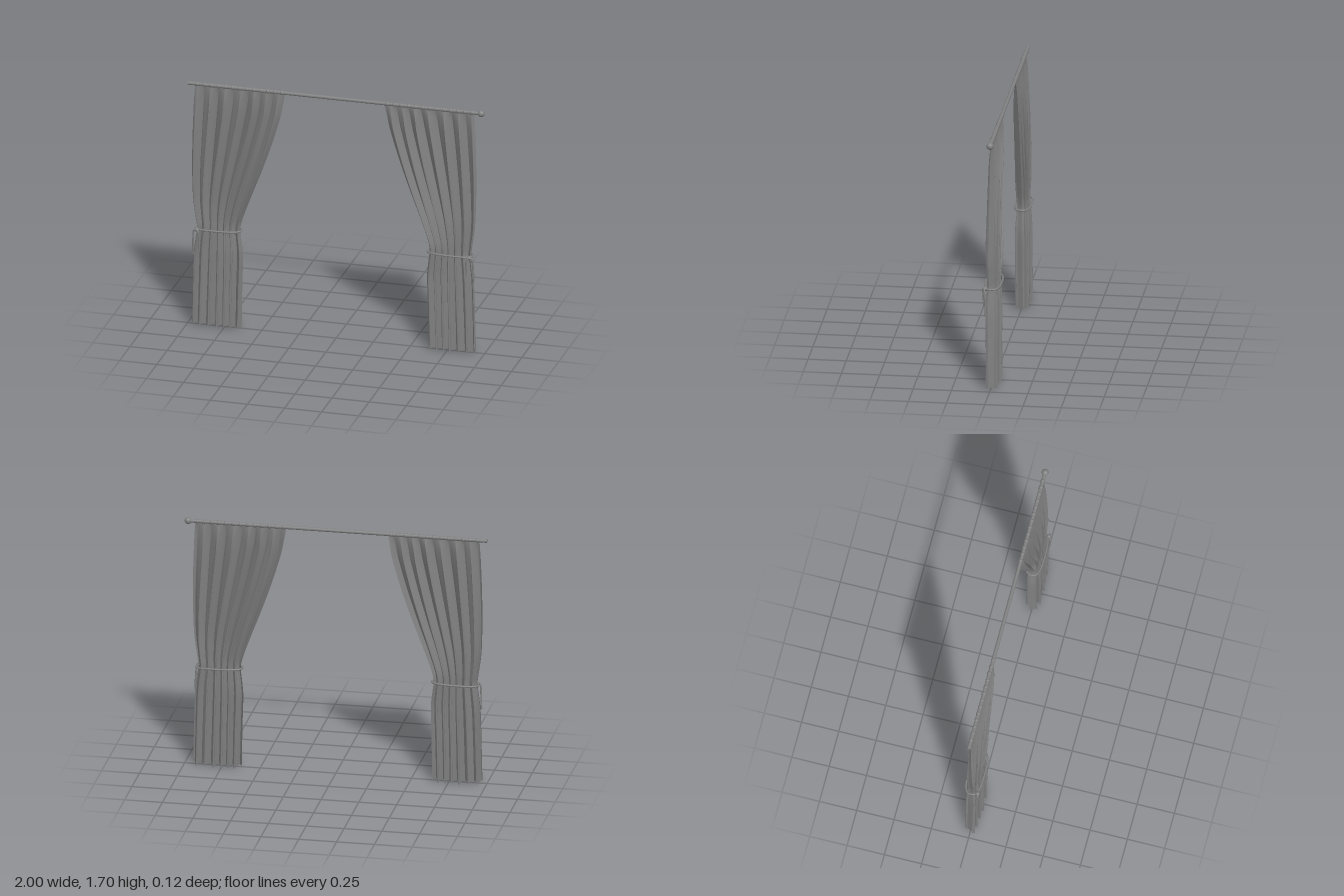
import * as THREE from 'three';

const ROD_Y = 1.685, MID = -0.01, TIE_Y = 0.685;

// Rows from rod to hem: height, outer edge, inner edge, fold depth
const ROWS = [
  [1.685, 0.94, 0.335, 0.003],
  [1.6, 0.945, 0.35, 0.02],
  [1.5, 0.95, 0.37, 0.031],
  [1.3, 0.956, 0.43, 0.042],
  [1.1, 0.957, 0.5, 0.048],
  [0.9, 0.95, 0.576, 0.052],
  [0.76, 0.932, 0.625, 0.046],
  [TIE_Y, 0.924, 0.637, 0.04],
  [0.6, 0.934, 0.628, 0.048],
  [0.5, 0.944, 0.62, 0.054],
  [0.3, 0.95, 0.625, 0.053],
  [0.01, 0.957, 0.63, 0.054],
];

// Pleated cloth sheet, gathered at the tie
function curtainGeometry(side) {
  const spline = (f) => new THREE.CatmullRomCurve3(ROWS.map(f), false, 'catmullrom', 0.5);
  const edges = spline((r) => new THREE.Vector3(r[1], r[0], r[2]));
  const depths = spline((r) => new THREE.Vector3(r[3], r[0], 0));
  const cols = 180, rows = 55, folds = 6.5;
  const geo = new THREE.PlaneGeometry(1, 1, cols, rows);
  const pos = geo.attributes.position;
  for (let j = 0; j <= rows; j++) {
    const e = edges.getPoint(j / rows), depth = depths.getPoint(j / rows).x;
    const gather = Math.min(1, depth / 0.05);
    for (let i = 0; i <= cols; i++) {
      const u = i / cols;
      const phase = Math.PI * 2 * folds * u + 0.7 * Math.sin(7 * u + 1) + 0.25 * Math.sin(3 * e.y + 9 * u);
      const taper = 0.5 + 0.5 * Math.pow(Math.sin(Math.PI * u), 0.5);
      const vary = 0.86 + 0.14 * Math.sin(17 * u + 2 * e.y);
      const inset = Math.min(1, 8 * u, 8 * (1 - u));
      const x = THREE.MathUtils.lerp(e.x, e.z, u) - 0.011 * gather * inset * Math.sin(2 * phase);
      const hem = j === rows ? 0.005 * Math.sin(phase) : 0;
      pos.setXYZ(j * (cols + 1) + i, MID + side * x, e.y + hem, depth * taper * vary * Math.sin(phase));
    }
  }
  geo.computeVertexNormals();
  return geo;
}

export function createModel() {
  const model = new THREE.Group();
  const grey = new THREE.MeshStandardMaterial({ color: 0x808080, side: THREE.DoubleSide });
  grey.name = 'grey';

  const add = (parent, geo, name, x = 0, y = 0, z = 0) => {
    const mesh = new THREE.Mesh(geo, grey);
    mesh.name = name;
    mesh.position.set(x, y, z);
    parent.add(mesh);
    return mesh;
  };
  const cord = (points, radius, closed = false) => new THREE.TubeGeometry(
    new THREE.CatmullRomCurve3(points.map((p) => new THREE.Vector3(...p)), closed),
    closed ? 80 : 20, radius, 8, closed);

  // Rod with a ball on one end
  add(model, new THREE.CylinderGeometry(0.012, 0.012, 1.96, 20), 'rod', -0.02, ROD_Y).rotation.z = Math.PI / 2;
  add(model, new THREE.SphereGeometry(0.023, 24, 16), 'finial', 0.977, ROD_Y);

  for (const side of [-1, 1]) {
    const group = new THREE.Group();
    group.name = side < 0 ? 'rightCurtain' : 'leftCurtain';
    model.add(group);
    const at = (x) => MID + side * x;

    add(group, curtainGeometry(side), 'cloth');

    // Loops holding the cloth to the rod
    for (let i = 0; i < 13; i++) {
      const loop = add(group, new THREE.TorusGeometry(0.011, 0.004, 8, 20), 'rodLoop', at(0.355 + i * 0.0475), ROD_Y);
      loop.scale.z = 2.5;
      loop.rotation.y = Math.PI / 2;
    }

    // Cord around the gathered cloth
    const ring = [];
    for (let i = 0; i < 24; i++) {
      const a = (i / 24) * Math.PI * 2, c = Math.cos(a), s = Math.sin(a);
      ring.push([at(0.78 + 0.152 * Math.sign(c) * Math.abs(c) ** 0.7), TIE_Y - 0.004 * c,
        0.052 * Math.sign(s) * Math.abs(s) ** 0.7]);
    }
    add(group, cord(ring, 0.0065, true), 'tieBand');

    // Knot and hanging ends
    add(group, new THREE.SphereGeometry(0.014, 16, 12), 'tieKnot', at(0.918), TIE_Y - 0.004, 0.042);
    add(group, cord([[at(0.918), 0.685, 0.045], [at(0.936), 0.676, 0.045], [at(0.942), 0.63, 0.04],
      [at(0.946), 0.505, 0.034]], 0.006), 'tieEnd');
    add(group, cord([[at(0.918), 0.685, 0.047], [at(0.905), 0.672, 0.055], [at(0.9), 0.63, 0.054],
      [at(0.897), 0.555, 0.05]], 0.006), 'tieEnd');
  }
  return model;
}
